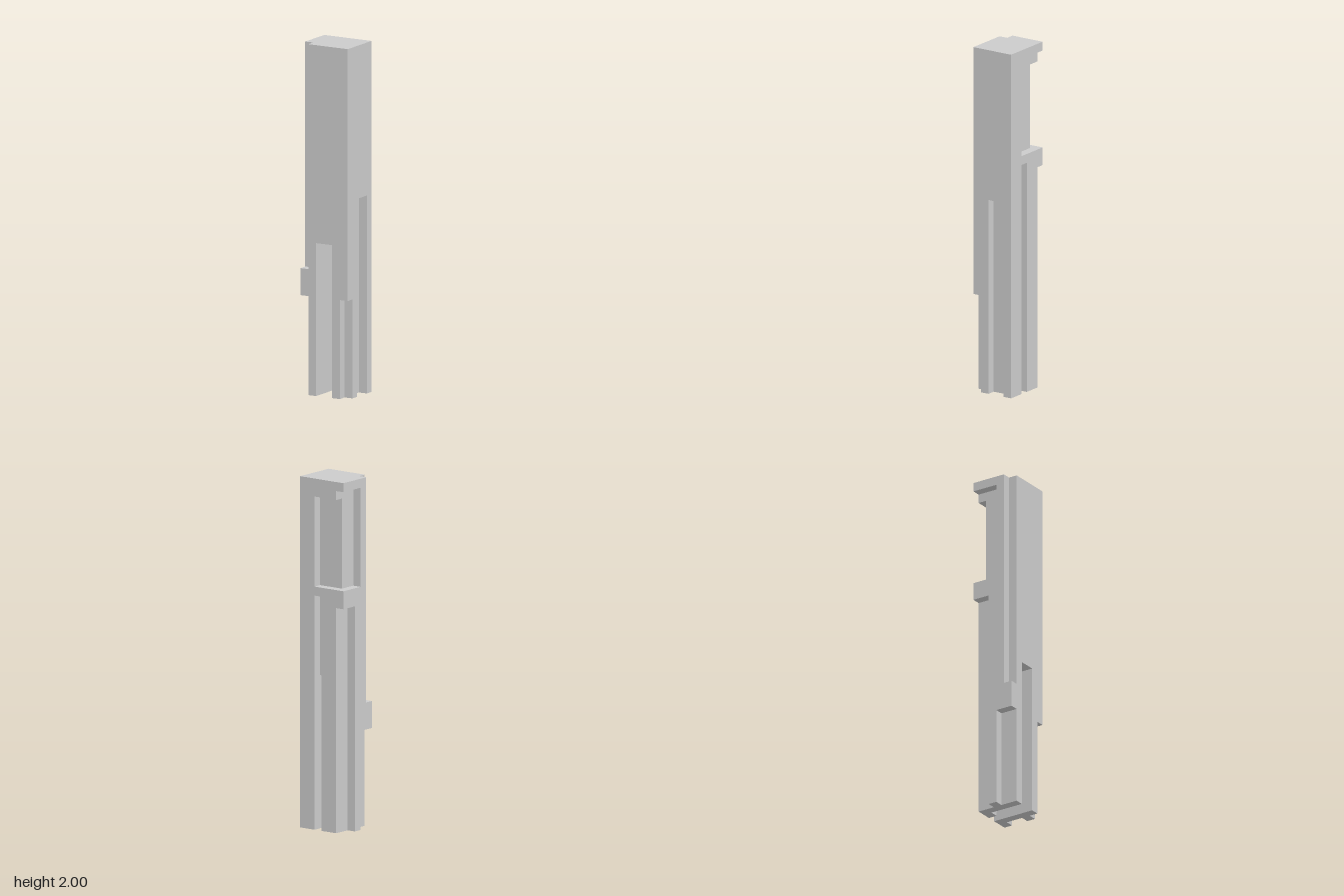
import * as THREE from 'three';

// Everything sits on a grid of 6 x 39 x 5 cells (x, y, z)
const CELL = 2 / 39;
const NX = 6, NZ = 5;

const material = new THREE.MeshStandardMaterial({ color: 0xcccccc, flatShading: true });

// Extrudes an outline given in cells; depth is in cells
function slab(outline, depth) {
  const shape = new THREE.Shape(outline.map(([a, b]) => new THREE.Vector2(a, b)));
  return new THREE.ExtrudeGeometry(shape, { depth, bevelEnabled: false });
}

// Outline in (x, y), running from z = zStart
const frontSlab = (outline, zStart, depth) =>
  slab(outline, depth).translate(0, 0, zStart);

// Outline in (z, y), running from x = xStart
const sideSlab = (outline, xStart, depth) =>
  slab(outline, depth).rotateY(-Math.PI / 2).translate(xStart + depth, 0, 0);

export function createModel() {
  const group = new THREE.Group();
  group.name = 'notchedPost';

  const add = (name, geometry) => {
    geometry.translate(-NX / 2, 0, -NZ / 2).scale(CELL, CELL, CELL);
    const mesh = new THREE.Mesh(geometry, material);
    mesh.name = name;
    group.add(mesh);
  };

  // Core with the tall slot between its two legs
  add('core', frontSlab(
    [[1, 0], [2, 0], [2, 17], [4, 17], [4, 0], [5, 0], [5, 39], [1, 39]], 1, 4));

  // Back layer: full-height strip, stepped cap, middle band and rear leg
  add('backLayer', frontSlab(
    [[4, 0], [6, 0], [6, 39], [0, 39], [0, 38], [1, 38], [1, 37], [4, 37],
      [4, 27], [0, 27], [0, 25], [1, 25], [1, 0], [3, 0], [3, 26], [4, 26]], 0, 1));

  // +x layer: groove and front corner notch
  add('leftSideLayer', sideSlab(
    [[1, 22], [3, 22], [3, 0], [4, 0], [4, 11], [5, 11], [5, 39], [1, 39]], 5, 1));

  // -x layer: cap, window, band, thin rib and front corner block
  add('rightSideLayer', sideSlab(
    [[1, 38], [3, 38], [3, 27], [1, 27], [1, 25], [2, 25], [2, 0], [3, 0],
      [3, 11], [5, 11], [5, 14], [4, 14], [4, 39], [1, 39]], 0, 1));

  return group;
}
